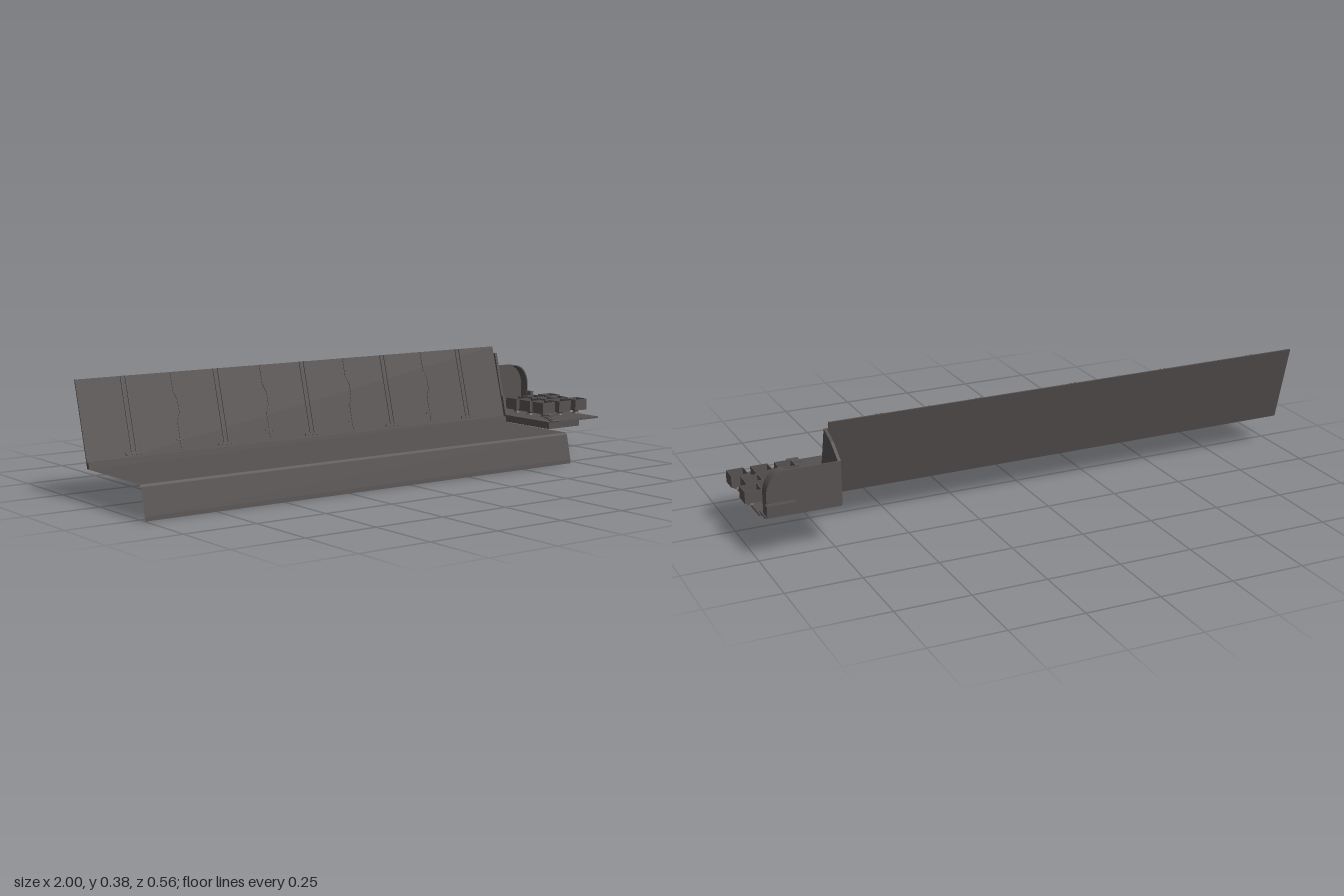
import * as THREE from 'three';

export function createModel() {
  const root = new THREE.Group();
  const steel = new THREE.MeshStandardMaterial({ color: 0x555150, side: THREE.DoubleSide, flatShading: true });
  steel.name = 'dark steel';

  const add = (parent, name, geometry, x = 0, y = 0, z = 0) => {
    const mesh = new THREE.Mesh(geometry, steel);
    mesh.name = name;
    mesh.position.set(x, y, z);
    parent.add(mesh);
    return mesh;
  };
  // box given by its limits
  const block = (parent, name, x0, x1, y0, y1, z0, z1) =>
    add(parent, name, new THREE.BoxGeometry(x1 - x0, y1 - y0, z1 - z0), (x0 + x1) / 2, (y0 + y1) / 2, (z0 + z1) / 2);
  // [x, y] outline extruded along z
  const plate = (parent, name, points, depth, z = 0) => {
    const shape = new THREE.Shape(points.map(([x, y]) => new THREE.Vector2(x, y)));
    return add(parent, name, new THREE.ExtrudeGeometry(shape, { depth, bevelEnabled: false }), 0, 0, z);
  };
  // [z, y] outline extruded along x
  const sidePlate = (parent, name, points, x0, x1) => {
    const mesh = plate(parent, name, points.map(([z, y]) => [-z, y]), x1 - x0);
    mesh.rotation.y = Math.PI / 2;
    mesh.position.set(x0, 0, 0);
    return mesh;
  };
  // open sheet following a [z, y] profile
  const sheet = (parent, name, profile, x0, x1) => {
    const geo = new THREE.PlaneGeometry(1, 1, 1, profile.length - 1);
    const p = geo.attributes.position;
    profile.forEach(([z, y], i) => {
      p.setXYZ(2 * i, x0, y, z);
      p.setXYZ(2 * i + 1, x1, y, z);
    });
    geo.computeVertexNormals();
    return add(parent, name, geo);
  };

  // long deck with its sloping front lip
  const X0 = -1, X1 = 0.722;
  sheet(root, 'deck', [[-0.075, 0.107], [0.252, 0.107]], X0, X1);
  sheet(root, 'frontLip', [[0.252, 0.107], [0.258, 0.1], [0.278, 0.014], [0.28, 0]], X0, X1);
  sidePlate(root, 'deckCurb', [[-0.076, 0.107], [-0.066, 0.107], [-0.07, 0.128], [-0.081, 0.128]], X0, X1);

  // leaning back wall, built upright and then tilted
  const wall = new THREE.Group();
  wall.name = 'backWall';
  wall.position.set(0, 0.107, -0.075);
  wall.rotation.x = -0.266;
  root.add(wall);
  block(wall, 'wallPanel', X0, X1, 0, 0.284, -0.003, 0.001);
  for (let i = 0; i < 5; i++) {
    const x = -0.83 + i * 0.345;
    for (const dx of [-0.011, 0.006]) block(wall, 'rib', x + dx, x + dx + 0.006, 0.035, 0.284, 0, 0.004);
    block(wall, 'ribFoot', x - 0.032, x + 0.032, 0.03, 0.037, 0, 0.006);
    const j = x + 0.172;
    if (j > X1 - 0.03) continue;
    // wavy panel joint with a small foot and marker
    const line = [[j, 0.03], [j, 0.12], [j + 0.012, 0.15], [j + 0.012, 0.19], [j, 0.22], [j, 0.284]];
    plate(wall, 'panelJoint', [...line, ...line.map(([a, b]) => [a + 0.003, b]).reverse()], 0.003);
    block(wall, 'jointFoot', j - 0.015, j + 0.015, 0.06, 0.066, 0, 0.004);
  }

  // end platform
  const end = new THREE.Group();
  end.name = 'endPlatform';
  root.add(end);
  block(end, 'platformFloor', 0.727, 0.975, 0.126, 0.132, -0.2, 0.155);
  block(end, 'rearFloor', 0.727, 0.975, 0.141, 0.146, -0.262, -0.2);
  sidePlate(end, 'platformSkirt', [[0.16, 0.107], [0.16, 0.13], [-0.075, 0.13], [-0.08, 0.107]], 0.727, 0.875);
  sidePlate(end, 'tallSidePlate', [[-0.072, 0.13], [-0.09, 0.2], [-0.096, 0.2], [-0.137, 0.357], [-0.2, 0.332],
    [-0.262, 0.291], [-0.262, 0.143], [-0.225, 0.143], [-0.2, 0.13]], 0.724, 0.734);

  // round-cornered rear plate with its rim
  const arc = [];
  for (let i = 0; i <= 10; i++) {
    const a = (i / 10) * Math.PI / 2;
    arc.push([0.905 + 0.065 * Math.cos(a), 0.215 + 0.076 * Math.sin(a)]);
  }
  plate(end, 'rearPlate', [[0.73, 0.143], [0.97, 0.143], ...arc, [0.73, 0.291]], 0.006, -0.264);
  const inner = arc.map(([x, y]) => [x - 0.004, y - 0.003]);
  plate(end, 'rearRim', [[0.97, 0.143], ...arc, ...inner.reverse(), [0.966, 0.143]], 0.037, -0.262);
  block(end, 'rearBox', 0.88, 0.975, 0.155, 0.19, -0.283, -0.262);
  block(end, 'post', 0.93, 0.945, 0.13, 0.195, -0.185, -0.165);

  // three rows of open bins on pedestals
  for (const z of [-0.105, -0.032, 0.04]) {
    for (const x of [0.81, 0.89, z === -0.032 ? 0.945 : 0.971]) {
      const bin = new THREE.Group();
      bin.name = 'bin';
      bin.position.set(x, 0, z);
      end.add(bin);
      const r = 0.029;
      block(bin, 'binFloor', -r, r, 0.146, 0.15, -r, r);
      for (const s of [-1, 1]) {
        add(bin, 'binSide', new THREE.BoxGeometry(0.003, 0.037, 2 * r), s * (r - 0.0015), 0.168, 0);
        add(bin, 'binEnd', new THREE.BoxGeometry(2 * r, 0.037, 0.003), 0, 0.168, s * (r - 0.0015));
      }
      add(bin, 'pedestalTop', new THREE.CylinderGeometry(0.016, 0.008, 0.008, 8), 0, 0.142, 0);
      add(bin, 'pedestalBase', new THREE.CylinderGeometry(0.008, 0.014, 0.008, 8), 0, 0.135, 0);
      add(bin, 'binCore', new THREE.BoxGeometry(0.018, 0.006, 0.018), 0, 0.153, 0);
    }
  }

  // folded gear at the front corner
  const gear = new THREE.Group();
  gear.name = 'foldedGear';
  gear.position.set(0.752, 0.14, 0.134);
  end.add(gear);
  for (let i = 0; i < 4; i++) {
    const leaf = add(gear, 'gearLeaf', new THREE.BoxGeometry(0.036, 0.004, 0.034), 0, i * 0.004, 0.014 - i * 0.009);
    leaf.rotation.set(0.5 - i * 0.25, i * 0.35, 0);
  }
  block(gear, 'gearCover', -0.02, 0.02, 0.013, 0.016, -0.022, 0.02);

  return root;
}
